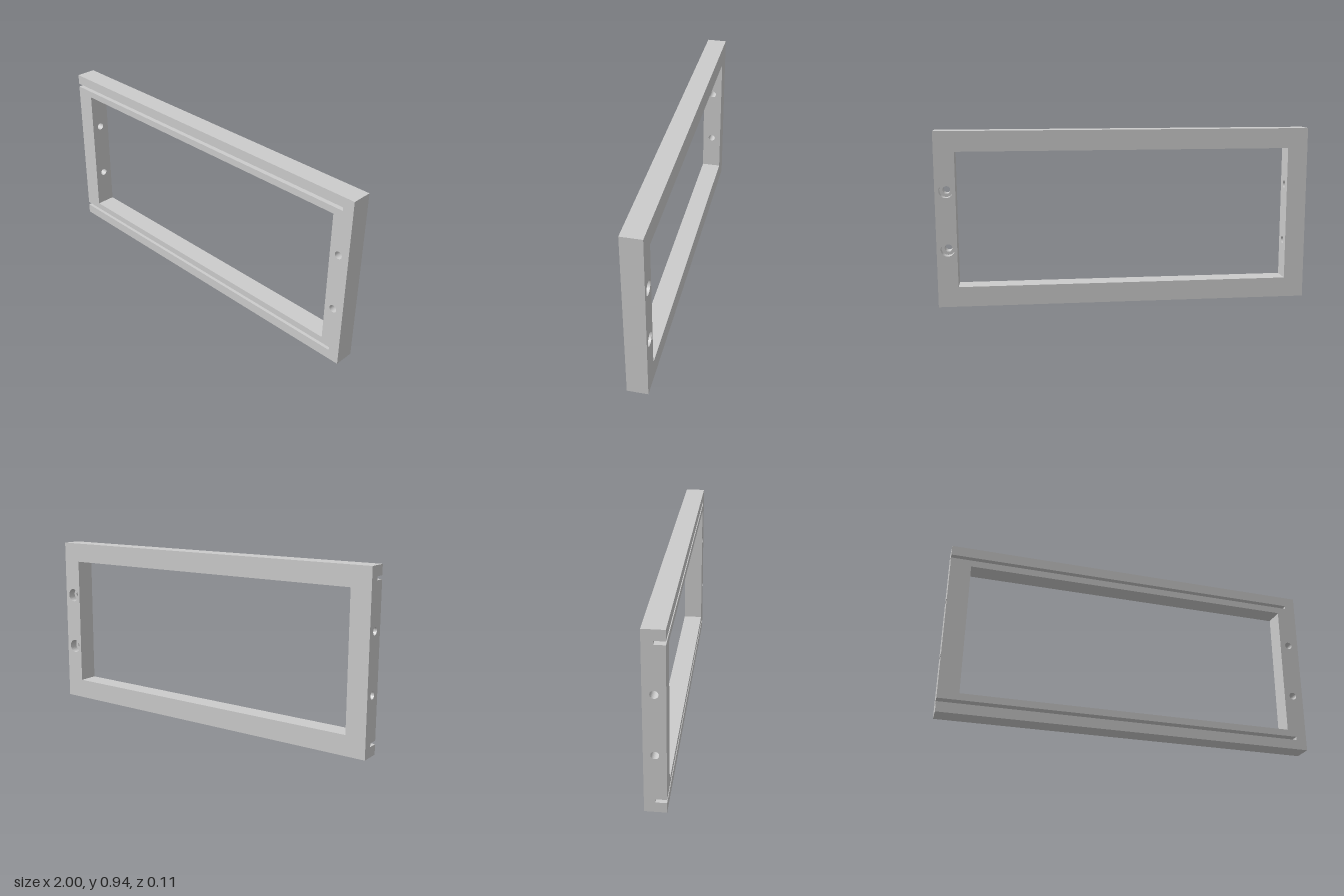
import * as THREE from 'three';

const H = 0.9375, T = 0.1075, h = T / 2;      // height, rail width and thickness
const GROOVE = 0.0625, GW = 0.009;            // groove offset from the edge, half width
const STOP = 0.942;                           // where grooves end, also the bolt hole line
const HOLES = [H / 3, (2 * H) / 3];
const BORE = 0.02, COUNTERBORE = 0.037, BORE_DEPTH = 0.045;

const mat = new THREE.MeshStandardMaterial({ color: 0xcccccc });

function addHoles(shape, x, r) {
  for (const y of HOLES) shape.holes.push(new THREE.Path().absarc(x, y, r, 0, Math.PI * 2, true));
}

function part(name, shape, depth) {
  const geo = new THREE.ExtrudeGeometry(shape, { depth, bevelEnabled: false, curveSegments: 24 });
  const mesh = new THREE.Mesh(geo, mat);
  mesh.name = name;
  return mesh;
}

// Bar running along x: its end section has front grooves (listed from top to bottom)
function bar(name, x0, x1, y0, y1, grooves, drilled = false) {
  const pts = [[-h, y0], [h, y0], [h, y1], [-h, y1]];
  for (const g of grooves) pts.push([-h, g + GW], [0, g + GW], [0, g - GW], [-h, g - GW]);
  const shape = new THREE.Shape(pts.map(([x, y]) => new THREE.Vector2(x, y)));
  if (drilled) addHoles(shape, 0, BORE);
  const mesh = part(name, shape, x1 - x0);
  mesh.geometry.rotateY(Math.PI / 2).translate(x0, 0, 0);
  return mesh;
}

// Slice of the drilled end post between two depths
function postSlice(name, z0, z1, r) {
  const shape = new THREE.Shape([[1 - T, T], [1, T], [1, H - T], [1 - T, H - T]].map(([x, y]) => new THREE.Vector2(x, y)));
  addHoles(shape, STOP, r);
  const mesh = part(name, shape, z1 - z0);
  mesh.geometry.translate(0, 0, z0);
  return mesh;
}

export function createModel() {
  const group = new THREE.Group();
  group.name = 'slottedFrame';

  // End post with cross-drilled holes, crossed by both grooves
  group.add(bar('rightPost', -1, -1 + T, 0, H, [H - GROOVE, GROOVE], true));

  // Grooved rails with solid tips beyond the groove ends
  for (const [name, y0, g] of [['bottomRail', 0, GROOVE], ['topRail', H - T, H - GROOVE]]) {
    group.add(bar(name, -1 + T, STOP, y0, y0 + T, [g]));
    group.add(bar(name + 'Tip', STOP, 1, y0, y0 + T, []));
  }

  // End post with bolt holes counterbored from the back
  group.add(postSlice('leftPostFront', -h + BORE_DEPTH, h, BORE));
  group.add(postSlice('leftPostCounterbore', -h, -h + BORE_DEPTH, COUNTERBORE));

  return group;
}
